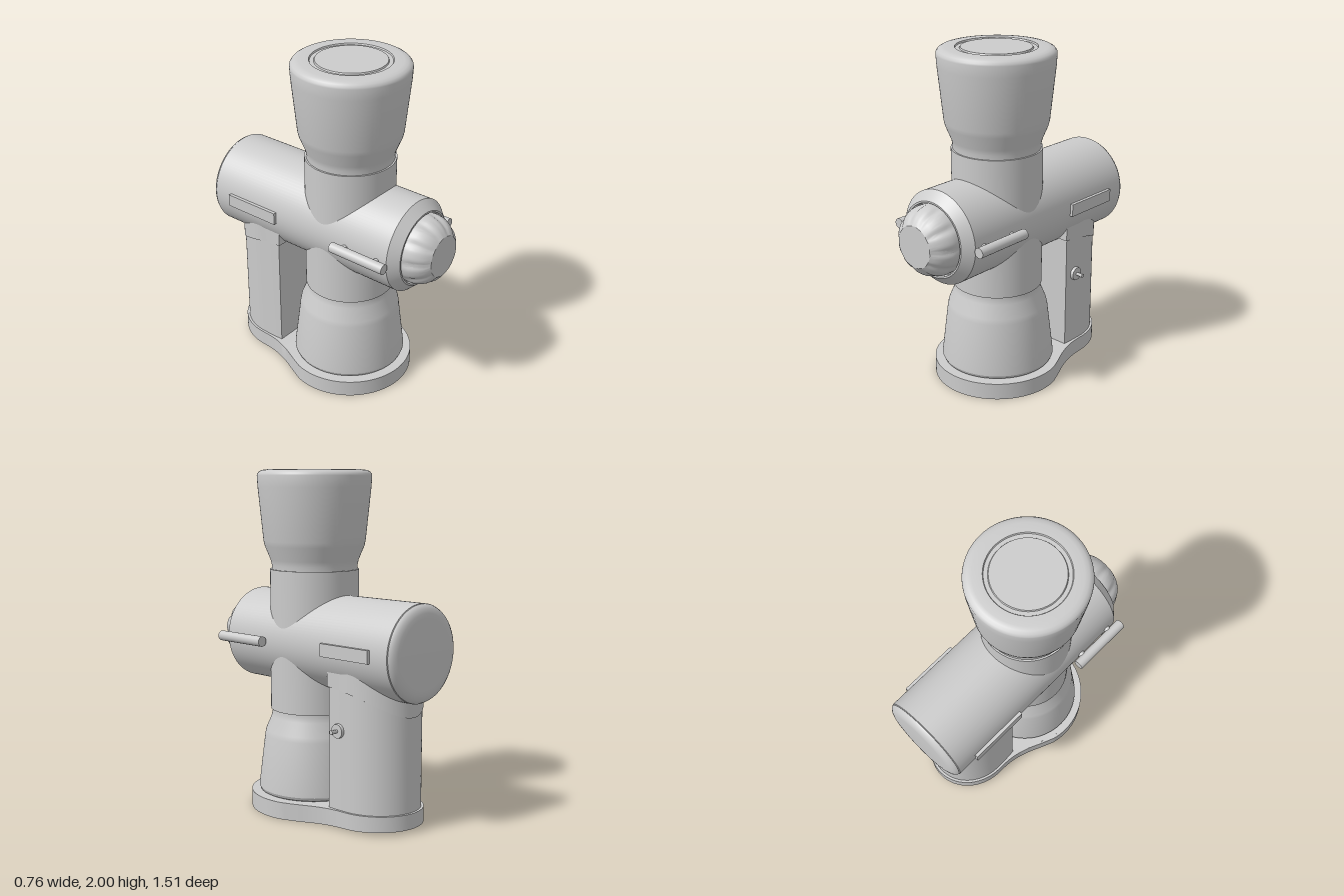
import * as THREE from 'three';
import { toCreasedNormals } from 'three/addons/utils/BufferGeometryUtils.js';

const material = new THREE.MeshStandardMaterial({ color: 0xcccccc });
const AXIS_Z = 0.1;   // vertical body axis
const TUBE_Y = 1.01;  // horizontal body axis

function add(parent, name, geometry, x = 0, y = 0, z = 0) {
  const mesh = new THREE.Mesh(geometry, material);
  mesh.name = name;
  mesh.position.set(x, y, z);
  parent.add(mesh);
  return mesh;
}

// Lathe from [radius, height] pairs, listed bottom to top
function turned(profile, crease = 0.45, segments = 96) {
  const points = profile.map(([r, h]) => new THREE.Vector2(r, h));
  return toCreasedNormals(new THREE.LatheGeometry(points, segments), crease);
}

// Mirrors a half outline of [x, z] points (front to rear) and extrudes it upward;
// rule(y, z) may return a new height for each vertex
function upright(half, height, rule) {
  const right = half.map(([x, z]) => new THREE.Vector2(x, -z));
  const left = half.filter(([x]) => x > 1e-4).reverse().map(([x, z]) => new THREE.Vector2(-x, -z));
  const geometry = new THREE.ExtrudeGeometry(new THREE.Shape([...right, ...left]), { depth: height, bevelEnabled: false });
  geometry.rotateX(-Math.PI / 2);
  const p = geometry.attributes.position;
  if (rule) for (let i = 0; i < p.count; i++) p.setY(i, rule(p.getY(i), p.getZ(i)));
  return toCreasedNormals(geometry, 0.5);
}

// Quarter ellipse [x, z] closing an outline at the rear
function rearArc(width, centreZ, depth, steps = 20) {
  return Array.from({ length: steps + 1 }, (_, i) => {
    const a = (i / steps) * Math.PI / 2;
    return [i === steps ? 0 : width * Math.cos(a), centreZ - depth * Math.sin(a)];
  });
}

export function createModel() {
  const model = new THREE.Group();
  model.name = 'coffeeGrinder';

  // Base plate: round front flowing through a waist into the handle foot
  const front = Array.from({ length: 33 }, (_, i) => {
    const a = (i / 32) * 1.84;
    return [0.38 * Math.sin(a), AXIS_Z + 0.38 * Math.cos(a)];
  });
  const waist = new THREE.SplineCurve([
    [0.366, -0.001], [0.335, -0.075], [0.295, -0.165], [0.266, -0.26], [0.256, -0.34], [0.255, -0.4],
  ].map(([x, z]) => new THREE.Vector2(x, z))).getPoints(20).map((p) => [p.x, p.y]);
  const plate = [...front, ...waist.slice(1, -1), ...rearArc(0.255, -0.4, 0.285)];
  add(model, 'basePlate', upright(plate, 0.1, (y, z) =>
    y + Math.max(0, -0.13 - z) * (y < 0.05 ? 0.04 : 0.02)));

  // Vertical body: lower cup, straight barrel, upper hopper
  add(model, 'lowerCup', turned([
    [0, 0.09], [0.31, 0.09], [0.313, 0.1], [0.327, 0.107], [0.335, 0.125], [0.334, 0.14],
    [0.298, 0.44], [0.291, 0.47], [0.258, 0.55], [0.252, 0.58], [0.252, 0.61],
  ]), 0, 0, AXIS_Z);
  add(model, 'barrel', turned([[0, 0.595], [0.262, 0.595], [0.262, 1.425], [0, 1.425]]), 0, 0, AXIS_Z);
  add(model, 'hopper', turned([
    [0.252, 1.41], [0.252, 1.45], [0.259, 1.48], [0.292, 1.56], [0.299, 1.59], [0.331, 1.9], [0.335, 1.965],
    [0.333, 1.975], [0.324, 1.987], [0.308, 1.996], [0.285, 2], [0.23, 2], [0.226, 1.992],
    [0.204, 1.992], [0.2, 2], [0, 2],
  ]), 0, 0, AXIS_Z);

  // Horizontal motor housing with rounded rear cap and chamfered front
  add(model, 'motorHousing', turned([
    [0, -0.755], [0.2, -0.755], [0.225, -0.753], [0.25, -0.745], [0.266, -0.733], [0.272, -0.722],
    [0.268, -0.72], [0.275, -0.717], [0.275, 0.565], [0.222, 0.62], [0.212, 0.62], [0.208, 0.595], [0, 0.595],
  ]).rotateX(Math.PI / 2), 0, TUBE_Y, 0);

  // Fluted dial on the front
  const dial = new THREE.LatheGeometry([
    [0.203, 0.59], [0.204, 0.63], [0.2, 0.655], [0.191, 0.68], [0.177, 0.705],
    [0.16, 0.726], [0.14, 0.743], [0.122, 0.755], [0, 0.755],
  ].map(([r, h]) => new THREE.Vector2(r, h)), 120);
  const p = dial.attributes.position;
  for (let i = 0; i < p.count; i++) {
    const angle = Math.atan2(p.getZ(i), p.getX(i));
    const h = p.getY(i);
    const fade = h > 0.75 ? 0.2 : Math.min(1, (h - 0.59) / 0.06);
    const scale = 1 - 0.06 * fade * Math.pow(0.5 + 0.5 * Math.cos(angle * 10), 3);
    p.setX(i, p.getX(i) * scale);
    p.setZ(i, p.getZ(i) * scale);
  }
  add(model, 'dial', toCreasedNormals(dial, 0.5).rotateX(Math.PI / 2), 0, TUBE_Y, 0);

  // Side bars and rear side panels on both flanks
  for (const side of [1, -1]) {
    const flank = new THREE.Group();
    flank.name = side > 0 ? 'leftFlank' : 'rightFlank';
    add(flank, 'sideBar', new THREE.CylinderGeometry(0.03, 0.03, 0.365, 32).rotateX(Math.PI / 2),
      side * 0.314, TUBE_Y, 0.398);
    for (const z of [0.28, 0.5])
      add(flank, 'barMount', new THREE.CylinderGeometry(0.02, 0.02, 0.05, 20).rotateZ(Math.PI / 2),
        side * 0.28, TUBE_Y, z);
    add(flank, 'sidePanel', new THREE.BoxGeometry(0.04, 0.074, 0.36), side * 0.272, TUBE_Y, -0.415);
    model.add(flank);
  }

  // Rear handle column with flat front and rounded back
  const column = [[0, -0.255], [0.236, -0.255], [0.24, -0.32], ...rearArc(0.241, -0.4, 0.269)];
  add(model, 'handle', upright(column, 0.82, (y) => y + 0.08));

  // Collar joining the handle to the housing, lower edge sweeping down to the rear
  const collar = [[0, -0.245], ...[-0.245, -0.28, -0.32, -0.36].map((z) => [0.243, z]),
    ...rearArc(0.247, -0.4, 0.275)];
  add(model, 'handleCollar', upright(collar, 1, (y, z) => {
    const t = (-0.245 - z) / 0.43;
    return y > 0.5 ? 0.93 : 0.8 - 0.035 * t - 0.115 * t ** 3;
  }));

  // Switch on the left face of the handle
  const toggle = new THREE.Group();
  toggle.name = 'powerSwitch';
  toggle.position.set(0.24, 0.56, -0.335);
  toggle.rotation.z = -Math.PI / 2;
  add(toggle, 'switchCollar', new THREE.CylinderGeometry(0.04, 0.042, 0.024, 32), 0, 0.006, 0);
  add(toggle, 'switchPin', turned([[0.01, 0], [0.01, 0.045], [0.014, 0.052], [0.012, 0.062], [0, 0.064]], 0.8, 20));
  model.add(toggle);

  return model;
}
